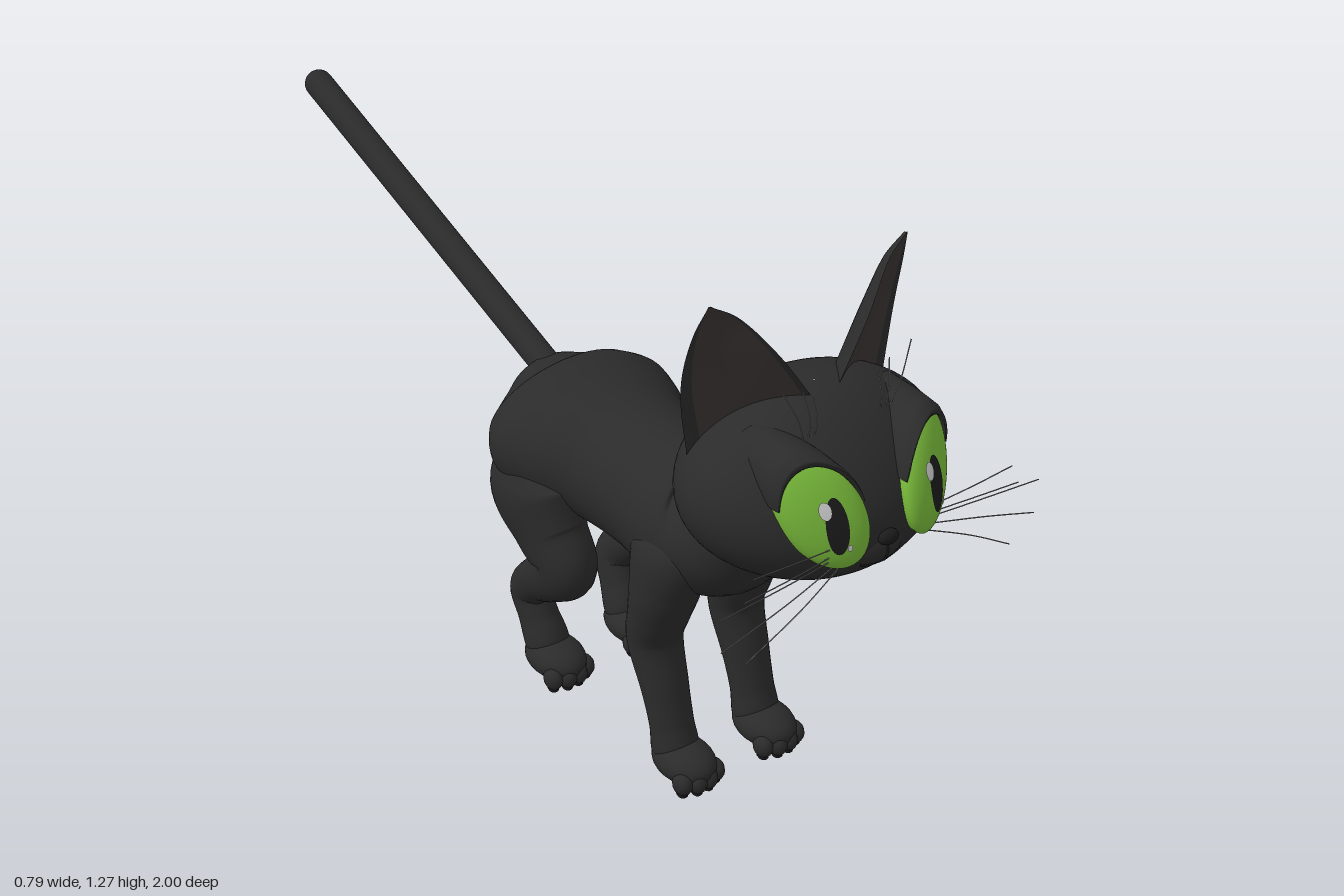
import * as THREE from 'three';
import { ParametricGeometry } from 'three/addons/geometries/ParametricGeometry.js';

const V = (x, y, z) => new THREE.Vector3(x, y, z);
const mat = (name, color, side = THREE.FrontSide) => {
  const m = new THREE.MeshStandardMaterial({ color, side });
  m.name = name;
  return m;
};

// Mirrored copy of a geometry across x = 0, with its faces kept outward
function mirror(geo) {
  const g = geo.clone().scale(-1, 1, 1);
  const a = g.index.array;
  for (let i = 0; i < a.length; i += 3) [a[i], a[i + 1]] = [a[i + 1], a[i]];
  return g;
}

// Smooth limb through rings [x, y, z, sideRadius, depthRadius]
function loft(rings, sides = 32, steps = 60) {
  const path = new THREE.CatmullRomCurve3(rings.map(r => V(r[0], r[1], r[2])));
  const radii = new THREE.CatmullRomCurve3(rings.map((r, i) => V(r[3], r[4], i * 0.1)));
  const X = V(1, 0, 0);
  return new ParametricGeometry((u, v, out) => {
    const n = path.getTangent(v).cross(X).normalize();
    const r = radii.getPoint(v), a = u * Math.PI * 2;
    out.copy(path.getPoint(v))
      .addScaledVector(X, Math.max(0.001, r.x) * Math.cos(a))
      .addScaledVector(n, Math.max(0.001, r.y) * Math.sin(a));
  }, sides, steps);
}

const ellipsoid = (x, y, z, rx, ry, rz, n = 24) =>
  new THREE.SphereGeometry(1, n, Math.ceil(n * 0.7)).scale(rx, ry, rz).translate(x, y, z);
const strand = (pts, r) =>
  new THREE.TubeGeometry(new THREE.CatmullRomCurve3(pts.map(p => V(...p))), 16, r, 5);

// Head: an ellipsoid whose lower face leans forward
const HY = 0.852, RX = 0.286, RY = 0.192, RZ = 0.22;
const lean = (y, s) => 0.755 + RZ * s + 0.25 * (HY - y) * Math.max(0, s);
const headZ = (x, y) =>
  lean(y, Math.sqrt(Math.max(0, 1 - (x / RX) ** 2 - ((y - HY) / RY) ** 2)));
const headGeometry = () => new ParametricGeometry((u, v, out) => {
  const a = u * Math.PI * 2, t = Math.PI * (0.998 - 0.996 * v);
  const y = HY + RY * Math.cos(t);
  out.set(RX * Math.sin(t) * Math.sin(a), y, lean(y, Math.sin(t) * Math.cos(a)));
}, 64, 40);
const muzzleZ = (x, y) => Math.max(headZ(x, y),
  0.93 + 0.055 * Math.sqrt(Math.max(0, 1 - (x / 0.075) ** 2 - ((y - 0.785) / 0.05) ** 2)));

// Eye: domed egg on a plane that turns outward and back
const EX = 0.126, EY = 0.89;
const eyePoint = (r, a) => {
  const dy = 0.11 * r * Math.sin(a);
  return [EX + 0.078 * r * Math.cos(a) + 0.18 * dy, EY + dy];
};
const eyePlane = (x, y) => 0.932 - 0.41 * (x - EX) - 0.3 * (y - EY);
const eyeZ = (x, y) => {
  const q = ((x - EX - 0.18 * (y - EY)) / 0.078) ** 2 + ((y - EY) / 0.11) ** 2;
  return eyePlane(x, y) + 0.04 * Math.sqrt(Math.max(0, 1 - q));
};
const eyeGeometry = () => new ParametricGeometry((u, v, out) => {
  const r = Math.max(0.004, Math.sin(Math.min(1, u / 0.85) * Math.PI / 2));
  const [x, y] = eyePoint(r, v * Math.PI * 2);
  out.set(x, y, eyeZ(x, y) - Math.max(0, u - 0.85) * 0.6);
}, 20, 48);
// Thin oval laid on the eye
const eyePatch = (cx, cy, rx, ry, lift) => new ParametricGeometry((u, v, out) => {
  const r = 0.004 + 0.996 * u, a = v * Math.PI * 2;
  const x = cx + rx * r * Math.cos(a), y = cy + ry * r * Math.sin(a);
  out.set(x, y, eyeZ(x, y) + lift);
}, 6, 28);
// Upper lid: an arched hood with tapered ends, as [radius, height] across
const LID = [[0.92, -0.01], [0.92, 0.03], [1.0, 0.036], [1.08, 0.022], [1.12, -0.03], [1.12, -0.11]];
const lidGeometry = () => new ParametricGeometry((u, v, out) => {
  const f = Math.min(4.9999, u * 5), i = Math.floor(f), k = f - i;
  const a = 0.15 + v * (Math.PI - 0.3), t = Math.sqrt(Math.sin(a));
  const r = THREE.MathUtils.lerp(LID[i][0], LID[i + 1][0], k);
  const h = THREE.MathUtils.lerp(LID[i][1], LID[i + 1][1], k);
  const [x, y] = eyePoint(1 + (r - 1) * t, a);
  out.set(x, y, eyePlane(x, y) + (h > 0 ? h * t : h));
}, 15, 32);

// Ear: strip between outer and inner edge curves, bowed backward
const OUTER = new THREE.CatmullRomCurve3([V(0.235, 0.88, 0.68), V(0.261, 1.08, 0.68), V(0.256, 1.2, 0.705), V(0.24, 1.272, 0.73)]);
const INNER = new THREE.CatmullRomCurve3([V(0.01, 1.0, 0.79), V(0.11, 1.15, 0.775), V(0.185, 1.24, 0.745), V(0.236, 1.272, 0.732)]);
const earStrip = (from, to, bow) => new ParametricGeometry((u, v, out) => {
  const k = from + (to - from) * u, b = bow * Math.sin(Math.PI * k) * (1 - 0.9 * v);
  out.copy(OUTER.getPoint(v)).lerp(INNER.getPoint(v), k).add(V(-0.52 * b, 0, -0.85 * b));
}, 12, 24);

export function createModel() {
  const model = new THREE.Group();
  model.name = 'cat';
  const fur = mat('blackFur', 0x2b2b2b);
  const earSkin = mat('innerEar', 0x3b3434);
  const iris = mat('greenIris', 0x78b93a);
  const dark = mat('darkBlack', 0x1b1b1b);
  const shine = mat('eyeShine', 0xcfcfcf);
  const hair = mat('greyWhisker', 0x8c8c8c);

  const add = (name, geo, m) => {
    const mesh = new THREE.Mesh(geo, m);
    mesh.name = name;
    model.add(mesh);
    return mesh;
  };
  const pair = (name, geo, m) => {
    add(name + 'Left', geo, m);
    add(name + 'Right', mirror(geo), m);
  };

  // Torso and neck
  add('body', loft([
    [0, 0.61, -0.117, 0.005, 0.005], [0, 0.615, -0.1, 0.1, 0.07], [0, 0.6, -0.05, 0.185, 0.125],
    [0, 0.585, 0.02, 0.222, 0.15], [0, 0.58, 0.1, 0.205, 0.15], [0, 0.575, 0.2, 0.165, 0.148],
    [0, 0.57, 0.32, 0.152, 0.148], [0, 0.565, 0.43, 0.158, 0.158], [0, 0.58, 0.51, 0.148, 0.14],
    [0, 0.66, 0.585, 0.115, 0.11], [0, 0.75, 0.65, 0.1, 0.1], [0, 0.8, 0.7, 0.06, 0.06],
  ], 48, 90), fur);

  // Straight raised tail
  const a = V(0, 0.645, -0.06), b = V(0, 0.978, -0.968);
  const tail = add('tail', new THREE.CapsuleGeometry(0.032, a.distanceTo(b), 8, 24), fur);
  tail.position.copy(a).lerp(b, 0.5);
  tail.quaternion.setFromUnitVectors(V(0, 1, 0), b.clone().sub(a).normalize());

  // Legs
  pair('frontLeg', loft([
    [0.09, 0.62, 0.46, 0.03, 0.04], [0.1, 0.55, 0.46, 0.07, 0.09], [0.105, 0.45, 0.45, 0.075, 0.075],
    [0.107, 0.38, 0.435, 0.07, 0.062], [0.107, 0.31, 0.42, 0.062, 0.055], [0.107, 0.2, 0.455, 0.052, 0.047],
    [0.107, 0.12, 0.48, 0.048, 0.044], [0.107, 0.06, 0.495, 0.05, 0.048], [0.107, 0.02, 0.5, 0.03, 0.03],
  ]), fur);
  pair('hindLeg', loft([
    [0.14, 0.6, 0.04, 0.05, 0.07], [0.145, 0.5, 0.06, 0.08, 0.13], [0.145, 0.41, 0.115, 0.068, 0.1],
    [0.14, 0.35, 0.155, 0.062, 0.078], [0.135, 0.285, 0.1, 0.055, 0.058], [0.125, 0.235, 0.035, 0.045, 0.05],
    [0.115, 0.185, -0.005, 0.043, 0.048], [0.11, 0.13, 0.015, 0.043, 0.045], [0.107, 0.07, 0.045, 0.048, 0.048],
    [0.107, 0.02, 0.06, 0.03, 0.03],
  ]), fur);

  // Paws with toes and pads
  for (const [name, z] of [['front', 0.525], ['hind', 0.075]]) {
    pair(name + 'Paw', ellipsoid(0.107, 0.05, z, 0.06, 0.043, 0.08), fur);
    pair(name + 'Pad', ellipsoid(0.107, 0.012, z, 0.035, 0.01, 0.035, 16), dark);
    for (let i = -1.5; i <= 1.5; i++) {
      const x = 0.107 + i * 0.028, tz = z + 0.066 - Math.abs(i) * 0.012;
      pair(name + 'Toe', ellipsoid(x, 0.034, tz, 0.02, 0.026, 0.025, 14), fur);
      pair(name + 'ToePad', ellipsoid(x, 0.01, tz, 0.012, 0.01, 0.015, 10), dark);
    }
  }

  // Head, muzzle, nose and mouth
  add('head', headGeometry(), fur);
  add('muzzle', ellipsoid(0, 0.785, 0.93, 0.075, 0.05, 0.055, 32), fur);
  add('nose', ellipsoid(0, 0.813, 0.984, 0.023, 0.016, 0.014), dark);
  const onMuzzle = ([x, y]) => [x, y, muzzleZ(x, y)];
  add('mouthCleft', strand([[0, 0.8], [0, 0.78], [0, 0.758]].map(onMuzzle), 0.003), dark);
  pair('mouth', strand([[0, 0.758], [0.022, 0.747], [0.04, 0.75], [0.05, 0.757]].map(onMuzzle), 0.003), dark);

  // Ears
  pair('earBack', earStrip(0, 1, 0.06), fur);
  pair('earInnerRim', earStrip(1, 0.95, 0.02), fur);
  pair('earLining', earStrip(0.95, 0.12, 0.02), earSkin);
  pair('earOuterRim', earStrip(0.12, 0, 0.02), fur);

  // Eyes
  pair('eye', eyeGeometry(), iris);
  pair('eyelid', lidGeometry(), fur);
  pair('pupil', eyePatch(0.122, 0.878, 0.021, 0.056, 0.002), dark);
  add('eyeShineLeft', eyePatch(0.105, 0.912, 0.011, 0.017, 0.004), shine);
  add('eyeShineRight', mirror(eyePatch(0.141, 0.912, 0.011, 0.017, 0.004)), shine);
  add('smallShineLeft', eyePatch(0.14, 0.835, 0.005, 0.007, 0.004), shine);
  add('smallShineRight', mirror(eyePatch(0.104, 0.835, 0.005, 0.007, 0.004)), shine);

  // Cheek and brow whiskers
  for (const [y0, x, y] of [[0.822, 0.32, 0.842], [0.812, 0.34, 0.797], [0.802, 0.395, 0.782], [0.794, 0.39, 0.707], [0.786, 0.33, 0.657]])
    pair('whisker', strand([[0.085, y0, 0.965], [(x + 0.085) / 2, (y0 + y) / 2 + 0.012, 0.985], [x, y, 0.975]], 0.0013), hair);
  for (const [x0, x, y] of [[0.1, 0.158, 1.12], [0.095, 0.105, 1.1], [0.085, 0.08, 1.08]])
    pair('browWhisker', strand([[x0, 0.98, 0.85], [(x0 + x) / 2 - 0.004, (0.98 + y) / 2, 0.858], [x, y, 0.845]], 0.0013), hair);

  return model;
}
